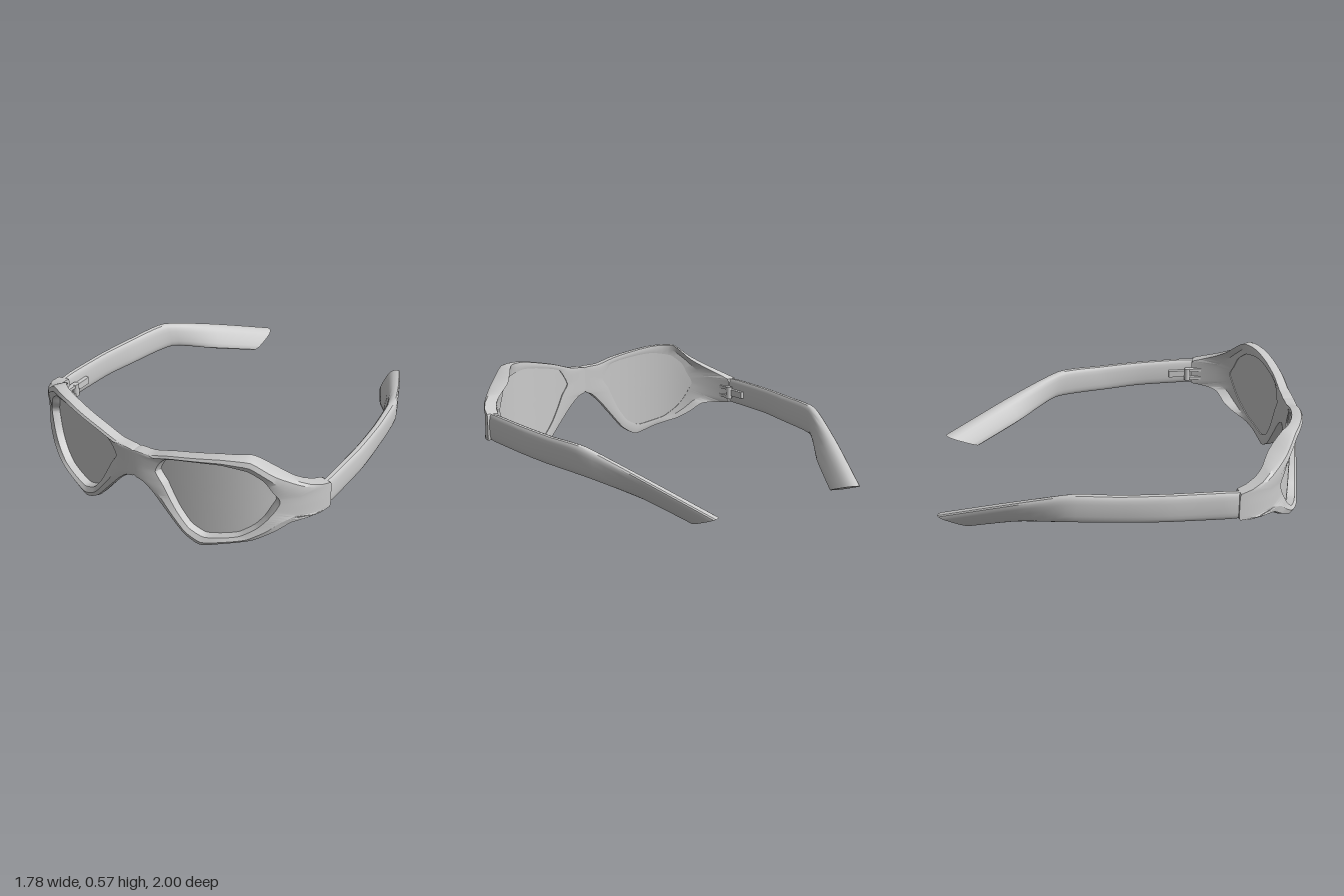
import * as THREE from 'three';
import { toCreasedNormals } from 'three/addons/utils/BufferGeometryUtils.js';

const material = new THREE.MeshStandardMaterial({ color: 0xcccccc });
const lensMaterial = new THREE.MeshStandardMaterial({ color: 0xcccccc, side: THREE.DoubleSide });

// Outer edge (x, y) and lens opening (x, y) of the +x half, clockwise from the bridge
const RIM = [
  [0, .32, .17, .32], [0, .395, .13, .38], [0, .47, .155, .435],
  [.1, .48, .19, .475], [.22, .515, .26, .495], [.36, .545, .38, .515],
  [.49, .568, .49, .525], [.625, .57, .61, .505], [.72, .495, .68, .45],
  [.8, .44, .71, .39], [.887, .365, .735, .345], [.888, .29, .74, .315],
  [.887, .215, .72, .27], [.8, .195, .69, .215], [.74, .15, .645, .16],
  [.64, .09, .57, .105], [.5, .045, .49, .08], [.37, .002, .39, .06],
  [.28, .05, .31, .095], [.19, .15, .25, .17], [.11, .24, .21, .24],
  [.05, .295, .185, .29],
];

// Temple sections: top point, bottom point, half width
const TEMPLE = [
  [.855, .365, .565, .855, .216, .575, .02],
  [.858, .368, .47, .858, .212, .49, .024],
  [.85, .36, .2, .85, .205, .2, .025],
  [.825, .35, -.05, .825, .195, 0, .026],
  [.78, .34, -.3, .765, .18, -.33, .03],
  [.64, .225, -.63, .6, .1, -.57, .036],
  [.465, .08, -.995, .475, .012, -.81, .04],
];

// Wraparound curve: a point at height y, sunk by depth along the inward normal
function onWrap(x, y, depth) {
  const a = .895, b = .547, n = 2.3;
  const u = THREE.MathUtils.clamp(x, 0, .888) / a;
  const v = Math.pow(1 - Math.pow(u, n), 1 / n);
  const nx = Math.pow(u, n - 1) / a, nz = Math.pow(v, n - 1) / b;
  const len = Math.hypot(nx, nz);
  return new THREE.Vector3(a * u - depth * nx / len, y, .45 + b * v - depth * nz / len);
}

// Skin between rows of points; side = -1 mirrors across x
function loft(rows, side, closeRows, closeRing) {
  const m = rows[0].length, positions = [], index = [];
  rows.forEach(row => row.forEach(p => positions.push(p.x * side, p.y, p.z)));
  const iMax = closeRows ? rows.length : rows.length - 1;
  const jMax = closeRing ? m : m - 1;
  for (let i = 0; i < iMax; i++) {
    for (let j = 0; j < jMax; j++) {
      const i2 = (i + 1) % rows.length, j2 = (j + 1) % m;
      const a = i * m + j, b = i * m + j2, c = i2 * m + j2, d = i2 * m + j;
      if (side > 0) index.push(a, b, c, a, c, d);
      else index.push(a, c, b, a, d, c);
    }
  }
  const geometry = new THREE.BufferGeometry();
  geometry.setAttribute('position', new THREE.Float32BufferAttribute(positions, 3));
  geometry.setIndex(index);
  return toCreasedNormals(geometry, .6);
}

function add(parent, name, geometry, mat = material) {
  const mesh = new THREE.Mesh(geometry, mat);
  mesh.name = name;
  parent.add(mesh);
  return mesh;
}

// Smoothed samples of the outer edge and the lens opening, turned counterclockwise
function rimSamples(count) {
  const curve = k => new THREE.CatmullRomCurve3(
    RIM.map(p => new THREE.Vector3(p[k], p[k + 1], 0)), true, 'catmullrom', .3);
  const outer = curve(0), inner = curve(2);
  return Array.from({ length: count }, (_, i) => {
    const t = 1 - (i + 1) / count;
    return [outer.getPoint(t), inner.getPoint(t)];
  });
}

function frameGeometry(side, samples) {
  const { smoothstep } = THREE.MathUtils;
  const rows = samples.map(([o, n]) => {
    // The edge is rounded except where the halves meet and at the hinge end
    const ridge = smoothstep(o.x, 0, .12) * (1 - smoothstep(o.x, .78, .88));
    // The frame is deeper toward the outer corners
    const back = .06 + .05 * Math.exp(-Math.pow((o.x - .73) / .1, 2));
    const profile = [
      [-.03, .05], [.04, .014], [.5, 0], [.9, .008 * ridge],
      [1, .028 * ridge], [1 - .03 * ridge, back], [.5, .064], [-.03, .06],
    ];
    return profile.map(([t, depth]) =>
      onWrap(n.x + (o.x - n.x) * t, n.y + (o.y - n.y) * t, depth));
  });
  return loft(rows, side, true, true);
}

function lensGeometry(side, samples) {
  const rings = 8;
  const rows = samples.map(([, n]) => Array.from({ length: rings + 1 }, (_, j) => {
    const t = j / rings;
    return onWrap(.42 + (n.x - .42) * t, .3 + (n.y - .3) * t, .054);
  }));
  return loft(rows, side, true, false);
}

function templeGeometry(side) {
  const curve = k => new THREE.CatmullRomCurve3(
    TEMPLE.map(s => new THREE.Vector3(s[k], s[k + 1], s[k + 2])), false, 'catmullrom', .3);
  const top = curve(0), bottom = curve(3);
  const steps = 30, around = 20, rows = [];
  for (let i = 0; i <= steps; i++) {
    const t = i / steps, f = t * (TEMPLE.length - 1), k = Math.min(Math.floor(f), TEMPLE.length - 2);
    const w = THREE.MathUtils.lerp(TEMPLE[k][6], TEMPLE[k + 1][6], f - k);
    const a = top.getPoint(t), b = bottom.getPoint(t);
    const mid = a.clone().add(b).multiplyScalar(.5), half = a.clone().sub(b).multiplyScalar(.5);
    const tan = top.getTangent(t).add(bottom.getTangent(t));
    const across = new THREE.Vector3(-tan.z, 0, tan.x).normalize().multiplyScalar(w);
    const ring = Array.from({ length: around }, (_, j) => {
      const ang = j / around * Math.PI * 2, c = Math.cos(ang), s = -Math.sin(ang);
      const soft = v => Math.sign(v) * Math.pow(Math.abs(v), .7);
      return mid.clone().addScaledVector(across, soft(c)).addScaledVector(half, soft(s));
    });
    const cap = ring.map(() => mid.clone());
    if (i === 0) rows.push(cap);
    rows.push(ring);
    if (i === steps) rows.push(cap);
  }
  return loft(rows, side, false, true);
}

function hinge(side) {
  const group = new THREE.Group();
  group.name = 'hinge';
  // Leaf on the temple, pin, and two lugs on the frame
  add(group, 'hingeLeaf', new THREE.BoxGeometry(.03, .04, .12)).position.set(.825 * side, .285, .45);
  add(group, 'hingePin', new THREE.CylinderGeometry(.018, .018, .075, 16)).position.set(.807 * side, .285, .505);
  for (const dy of [-.027, .027]) {
    add(group, 'hingeLug', new THREE.BoxGeometry(.03, .018, .09)).position.set(.812 * side, .285 + dy, .545);
  }
  return group;
}

export function createModel() {
  const model = new THREE.Group();
  model.name = 'sunglasses';
  const samples = rimSamples(88);
  for (const side of [1, -1]) {
    const label = side > 0 ? 'left' : 'right';
    add(model, label + 'FrameHalf', frameGeometry(side, samples));
    add(model, label + 'Lens', lensGeometry(side, samples), lensMaterial);
    add(model, label + 'Temple', templeGeometry(side));
    model.add(hinge(side));
  }
  return model;
}
